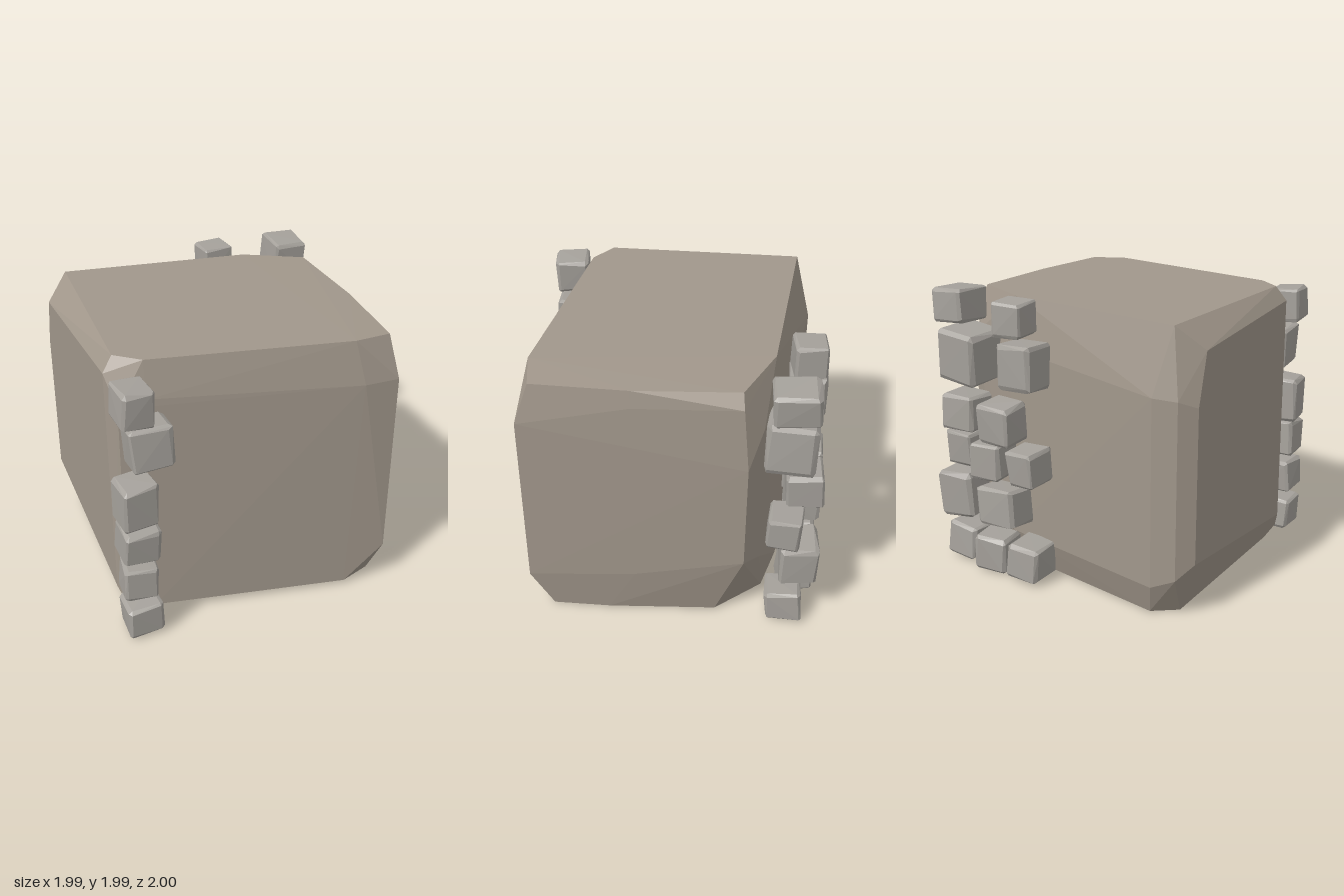
import * as THREE from 'three';
import { ConvexGeometry } from 'three/addons/geometries/ConvexGeometry.js';

const blockMaterial = new THREE.MeshStandardMaterial({ color: 0xa1978b, flatShading: true });
const stoneMaterial = new THREE.MeshStandardMaterial({ color: 0xa5a19b, flatShading: true });

// small seeded generator for the irregular stones
function seeded(seed) {
  let s = seed * 7919 + 17;
  return () => {
    s = (s * 16807) % 2147483647;
    return s / 2147483647;
  };
}

function hull(name, points, material) {
  const mesh = new THREE.Mesh(new ConvexGeometry(points), material);
  mesh.name = name;
  return mesh;
}

// rough cube: every corner is jittered and cut by a small triangle, then fitted to its size
function stone(name, seed, [x, y, z, w, h, d]) {
  const rnd = seeded(seed);
  for (let i = 0; i < 5; i++) rnd();
  const points = [];
  for (const sx of [-1, 1]) for (const sy of [-1, 1]) for (const sz of [-1, 1]) {
    const corner = [sx, sy, sz].map((s) => s * (0.9 + 0.1 * rnd()));
    for (let axis = 0; axis < 3; axis++) {
      const p = corner.map((v, i) => (i === axis ? v : v * (0.76 + 0.16 * rnd())));
      points.push(new THREE.Vector3(...p));
    }
  }
  const turn = new THREE.Euler((rnd() - 0.5) * 0.16, (rnd() - 0.5) * 0.24, (rnd() - 0.5) * 0.16);
  points.forEach((p) => p.applyEuler(turn));
  const box = new THREE.Box3().setFromPoints(points);
  const size = box.getSize(new THREE.Vector3());
  const mid = box.getCenter(new THREE.Vector3());
  const scale = new THREE.Vector3(w, h, d).divide(size);
  points.forEach((p) => p.sub(mid).multiply(scale));
  const mesh = hull(name, points, stoneMaterial);
  mesh.position.set(x, y, z);
  return mesh;
}

function stoneColumn(name, seed, rows) {
  const group = new THREE.Group();
  group.name = name;
  rows.forEach((row, i) => group.add(stone(name + 'Stone' + (i + 1), seed + i, row)));
  return group;
}

export function createModel() {
  const model = new THREE.Group();
  model.name = 'rockBlockWithStones';

  // main block: worn corners as x, y, z
  const corners = [
    // top face
    [-0.83, 1.95, -0.8], [0.48, 1.95, -0.64], [0.88, 1.945, -0.44], [0.9, 1.94, 0.25],
    [0.86, 1.935, 0.88], [0.6, 1.95, 0.92], [-0.72, 1.95, 0.68], [-0.88, 1.95, 0.55],
    // back left edge
    [-0.99, 1.79, -0.68], [-0.99, 1.45, -0.77], [-0.99, 0.4, -0.77], [-0.9, 1.5, -0.87],
    [-0.9, 0.3, -0.87], [-0.74, 1.51, -0.91], [-0.74, 0.23, -0.91],
    // back right edge
    [0.5, 1.6, -0.7], [0.5, 0.25, -0.72], [0.85, 1.65, -0.58], [0.8, 0.5, -0.6],
    [0.94, 1.85, -0.45], [0.97, 1.4, -0.49], [0.96, 0.58, -0.49],
    // front right edge
    [0.9, 1.65, 0.98], [0.9, 0.32, 1], [0.66, 1.65, 0.98], [0.63, 0.04, 0.96], [0.92, 1.82, 0.25], [0.93, 0.4, 0.25],
    // front left edge
    [-0.95, 1.85, 0.58], [-0.95, 0.2, 0.62], [-0.9, 1.65, 0.7], [-0.9, 0.07, 0.7], [-0.72, 1.7, 0.73], [-0.72, 0.07, 0.75],
    // bottom face
    [-0.86, 0.015, -0.72], [-0.7, 0.015, -0.84], [0.6, 0.015, -0.63], [0.86, 0.02, -0.3],
    [0.88, 0.01, 0.45], [0.87, 0.01, 0.85], [0.6, 0.01, 0.9], [-0.7, 0.015, 0.68], [-0.88, 0.02, 0.55],
  ];
  model.add(hull('mainBlock', corners.map((c) => new THREE.Vector3(...c)), blockMaterial));

  // each stone: centre x, y, z, then width, height, depth
  model.add(stoneColumn('frontCorner', 11, [
    [-0.85, 0.15, 0.86, 0.26, 0.25, 0.26],
    [-0.86, 0.45, 0.86, 0.25, 0.25, 0.24],
    [-0.855, 0.76, 0.86, 0.26, 0.27, 0.26],
    [-0.86, 1.06, 0.86, 0.26, 0.33, 0.26],
    [-0.755, 1.46, 0.85, 0.31, 0.33, 0.25],
    [-0.855, 1.765, 0.86, 0.24, 0.26, 0.26],
  ]));
  model.add(stoneColumn('backCorner', 31, [
    [0.84, 0.15, -0.78, 0.27, 0.27, 0.28],
    [0.81, 0.55, -0.86, 0.3, 0.35, 0.27],
    [0.85, 0.85, -0.755, 0.26, 0.26, 0.26],
    [0.76, 1.16, -0.865, 0.27, 0.26, 0.26],
    [0.79, 1.535, -0.76, 0.37, 0.39, 0.35],
    [0.86, 1.87, -0.765, 0.27, 0.26, 0.31],
  ]));
  model.add(stoneColumn('backMiddle', 51, [
    [0.54, 0.15, -0.86, 0.28, 0.27, 0.27],
    [0.46, 0.52, -0.87, 0.35, 0.3, 0.25],
    [0.54, 0.85, -0.87, 0.26, 0.27, 0.25],
    [0.45, 1.13, -0.87, 0.28, 0.29, 0.25],
  ]));
  model.add(stoneColumn('backInner', 71, [
    [0.24, 0.16, -0.87, 0.28, 0.26, 0.26],
    [0.24, 0.85, -0.87, 0.26, 0.27, 0.26],
    [0.25, 1.55, -0.87, 0.28, 0.32, 0.26],
    [0.33, 1.86, -0.86, 0.24, 0.24, 0.24],
  ]));
  return model;
}
